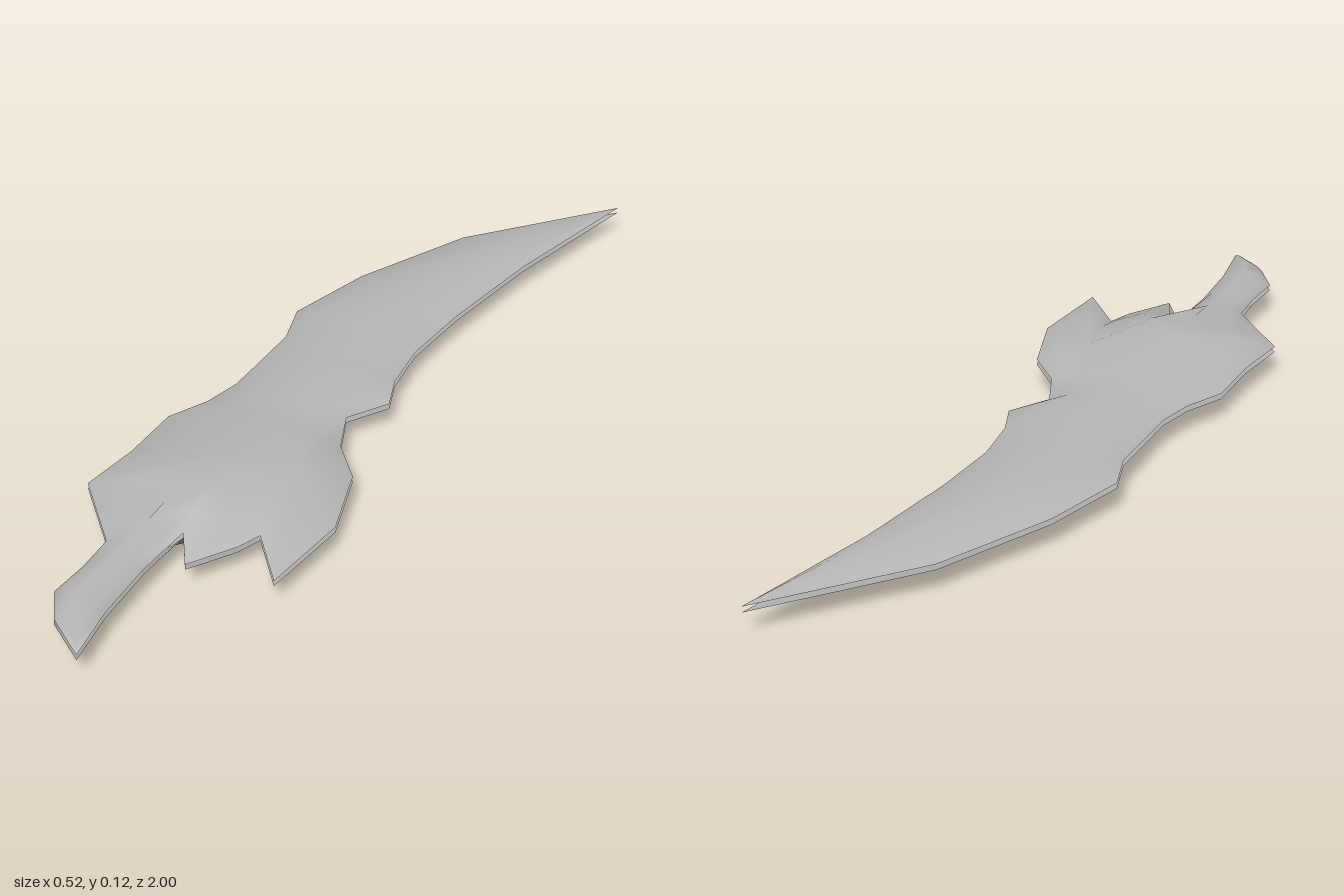
import * as THREE from 'three';
import { mergeVertices } from 'three/addons/utils/BufferGeometryUtils.js';

const MID = 0.061, HALF_GAP = 0.0065;

// Raised spine of the shell: x, z, height above the rim
const spine = [
  [0.222, -0.975, 0.002], [0.07, -0.67, 0.019], [-0.02, -0.41, 0.029], [-0.05, -0.22, 0.031],
  [-0.03, -0.06, 0.032], [-0.04, 0.08, 0.033], [-0.03, 0.2, 0.036], [-0.06, 0.4, 0.049],
  [0.01, 0.46, 0.0545], [-0.06, 0.62, 0.034], [-0.06, 0.75, 0.025], [-0.055, 0.86, 0.029],
  [-0.025, 0.94, 0.02], [0.1, 0.3, 0.036],
];

// Rim outline: x, z, index of the spine point it slopes up to
const rim = [
  // concave edge of the blade
  [0.23, -1, 0], [0.15, -0.65, 1], [0.112, -0.39, 2], [0.1, -0.22, 3], [0.115, -0.1, 4],
  [0.145, -0.02, 4], [0.09, 0.07, 5], [0.13, 0.165, 6], [0.13, 0.165, 13],
  // guard and its prongs
  [0.205, 0.245, 13], [0.258, 0.41, 13], [0.238, 0.62, 13], [0.14, 0.51, 13], [0.12, 0.565, 13],
  [0.058, 0.665, 13], [0, 0.58, 8], [0, 0.58, 9],
  // handle
  [-0.005, 0.72, 10], [0.003, 0.865, 11], [0.025, 1, 12], [-0.072, 0.935, 12], [-0.12, 0.865, 11],
  [-0.115, 0.77, 10], [-0.12, 0.68, 9],
  // far side of the guard and convex edge of the blade
  [-0.26, 0.54, 8], [-0.26, 0.54, 7], [-0.243, 0.4, 7], [-0.243, 0.257, 6], [-0.2, 0.167, 6],
  [-0.18, 0.08, 5], [-0.18, -0.13, 4], [-0.21, -0.23, 3], [-0.155, -0.43, 2], [-0.03, -0.695, 1],
];

// One open half of the body; side is 1 for the top and -1 for the underside
function shell(side) {
  const pos = [];
  const tri = (a, b, c) => {
    const up = (b[1] - a[1]) * (c[0] - a[0]) - (b[0] - a[0]) * (c[1] - a[1]);
    if (Math.abs(up) < 1e-7) return;
    const order = up * side > 0 ? [a, b, c] : [a, c, b];
    for (const [x, z, h] of order) pos.push(x, MID + side * (HALF_GAP + h), z);
  };
  const quad = (a, b, c, d) => { tri(a, b, c); tri(a, c, d); };
  const shoulder = ([x, z, s]) => {
    const r = spine[s], t = 0.65;
    return [r[0] + (x - r[0]) * t, r[1] + (z - r[1]) * t, r[2] * 0.6];
  };
  rim.forEach((p, i) => {
    const q = rim[(i + 1) % rim.length];
    const a = shoulder(p), b = shoulder(q);
    quad([p[0], p[1], 0], [q[0], q[1], 0], b, a);
    quad(a, b, spine[q[2]], spine[p[2]]);
  });
  // crown between the spine and the prong hub
  tri(spine[6], spine[7], spine[13]);
  tri(spine[7], spine[8], spine[13]);
  // saddle running from the crown into the handle
  tri(spine[7], spine[8], spine[9]);

  const soup = new THREE.BufferGeometry();
  soup.setAttribute('position', new THREE.Float32BufferAttribute(pos, 3));
  const geometry = mergeVertices(soup, 1e-4);
  geometry.computeVertexNormals();
  return geometry;
}

export function createModel() {
  const group = new THREE.Group();
  group.name = 'curvedBlade';
  const steel = new THREE.MeshStandardMaterial({ color: 0xb8b8b8, side: THREE.DoubleSide });
  steel.name = 'grey steel';
  for (const [name, side] of [['upperShell', 1], ['lowerShell', -1]]) {
    const mesh = new THREE.Mesh(shell(side), steel);
    mesh.name = name;
    group.add(mesh);
  }
  return group;
}
